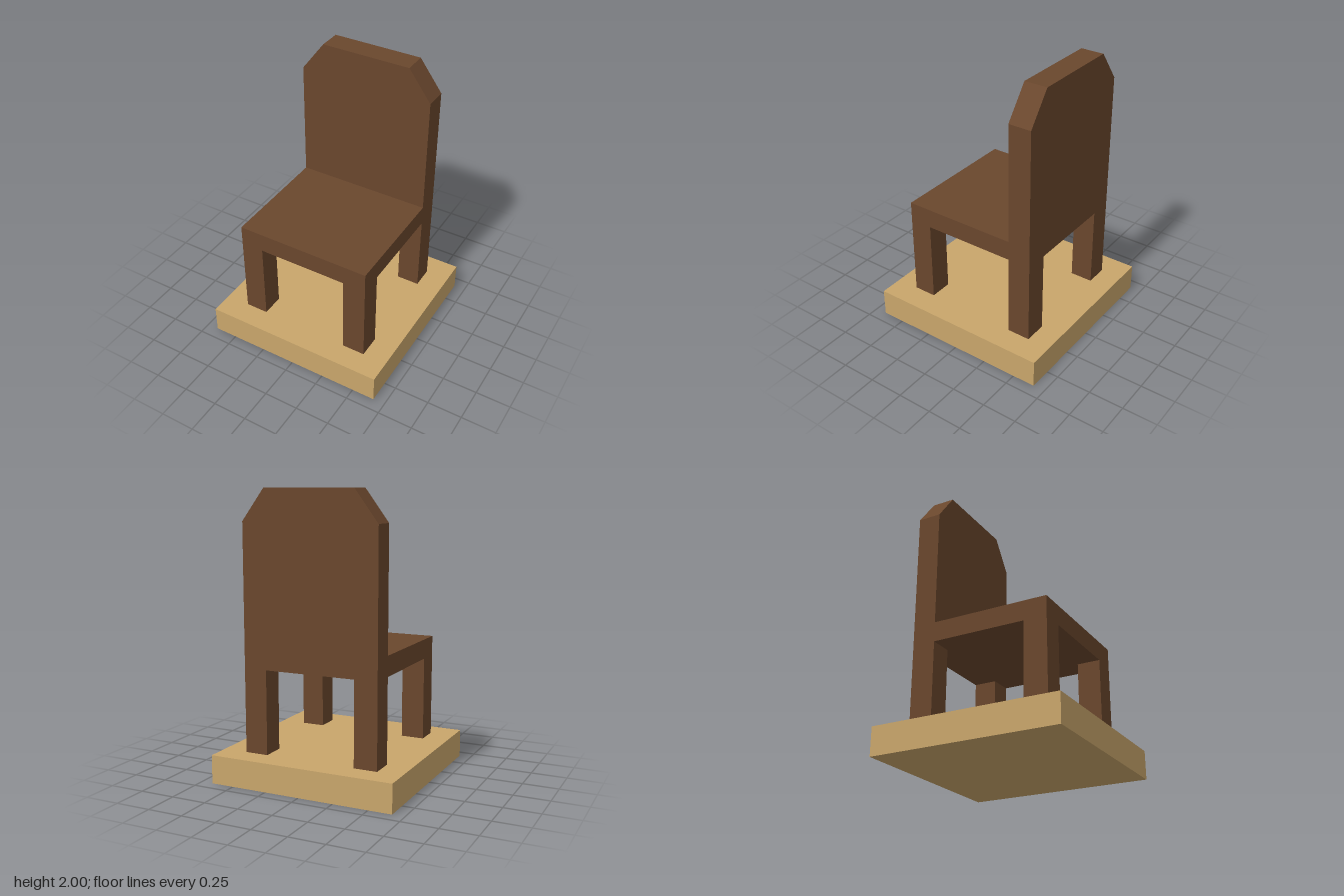
import * as THREE from 'three';

export function createModel() {
  const model = new THREE.Group();
  model.name = 'chairOnBase';

  const darkWood = new THREE.MeshStandardMaterial({ color: 0x6a472d });
  darkWood.name = 'dark wood';
  const paleWood = new THREE.MeshStandardMaterial({ color: 0xc9a66b });
  paleWood.name = 'pale wood';

  const halfW = 0.49, front = 0.5, back = -0.5;
  const thick = 0.165;
  const baseTop = 0.2, seatBottom = 0.79, seatTop = 0.93;

  const add = (name, geometry, material, x, y, z) => {
    const mesh = new THREE.Mesh(geometry, material);
    mesh.name = name;
    mesh.position.set(x, y, z);
    model.add(mesh);
  };

  // Square base
  add('base', new THREE.BoxGeometry(1.33, baseTop, 1.33), paleWood, 0, baseTop / 2, 0);

  // Seat, reaching up to the backrest
  const seatDepth = front - back - thick;
  add('seat', new THREE.BoxGeometry(halfW * 2, seatTop - seatBottom, seatDepth), darkWood,
    0, (seatTop + seatBottom) / 2, front - seatDepth / 2);

  // Four square legs
  const legHeight = seatBottom - baseTop;
  const leg = new THREE.BoxGeometry(thick, legHeight, thick);
  for (const [side, sx] of [['Left', 1], ['Right', -1]]) {
    for (const [end, sz] of [['front', 1], ['back', -1]]) {
      add(end + side + 'Leg', leg, darkWood,
        sx * (halfW - thick / 2), baseTop + legHeight / 2, sz * (front - thick / 2));
    }
  }

  // Backrest with cut top corners
  const outline = new THREE.Shape([
    [-halfW, seatBottom], [halfW, seatBottom], [halfW, 1.78],
    [halfW - thick, 2], [thick - halfW, 2], [-halfW, 1.78],
  ].map(([x, y]) => new THREE.Vector2(x, y)));
  add('backrest', new THREE.ExtrudeGeometry(outline, { depth: thick, bevelEnabled: false }),
    darkWood, 0, 0, back);

  return model;
}
